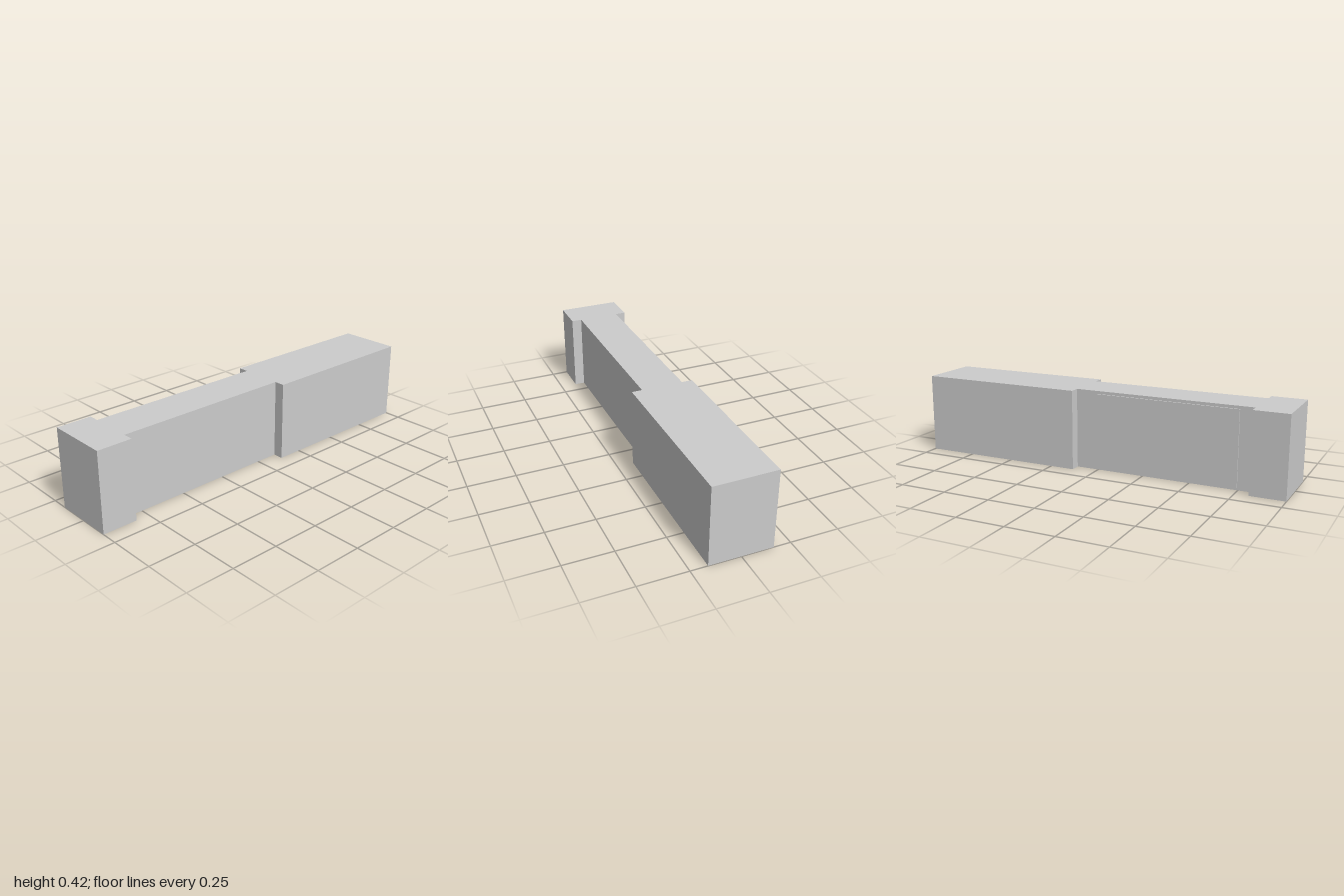
import * as THREE from 'three';

const HEIGHT = 0.416;

export function createModel() {
  const group = new THREE.Group();
  const material = new THREE.MeshStandardMaterial({ color: 0xcccccc, flatShading: true });

  const add = (name, geometry) => {
    const mesh = new THREE.Mesh(geometry, material);
    mesh.name = name;
    group.add(mesh);
    return mesh;
  };

  // Plan outline: wide short end, narrow waist, wide long end
  const end = 0.163, waist = 0.109;
  const side = [[-1, end], [-0.82, end], [-0.82, waist], [0.12, waist], [0.12, end], [1, end]];
  const outline = [
    ...side.map(([x, d]) => new THREE.Vector2(x, -d)),
    ...[...side].reverse().map(([x, d]) => new THREE.Vector2(x, d)),
  ];
  const body = new THREE.ExtrudeGeometry(new THREE.Shape(outline), { depth: HEIGHT, bevelEnabled: false });
  body.rotateX(-Math.PI / 2);
  add('body', body);

  // Thin raised panel on the back of the waist
  const panel = add('backPanel', new THREE.BoxGeometry(0.746, 0.388, 0.012));
  panel.position.set(-0.373, 0.207, -0.11);

  return group;
}
